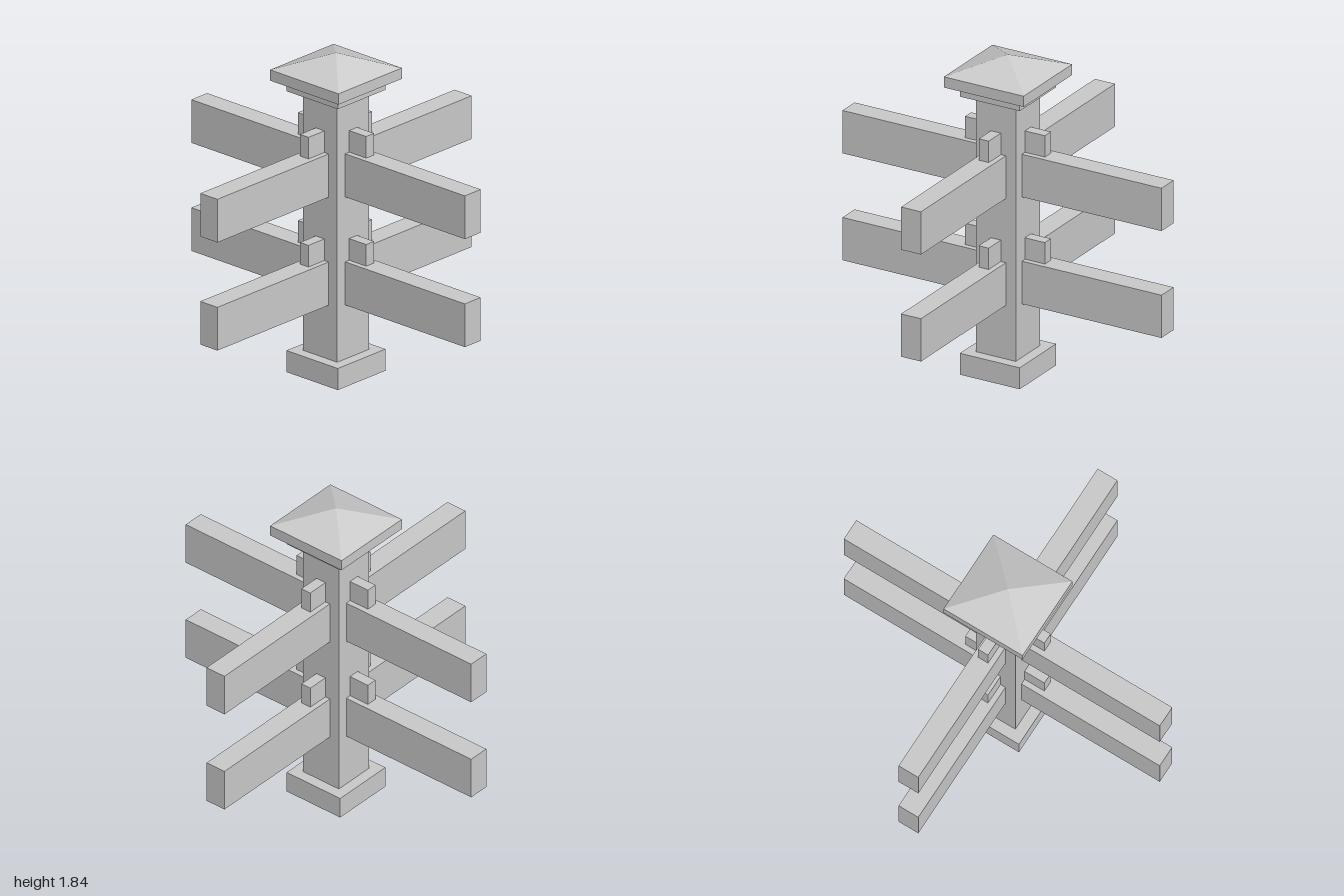
import * as THREE from 'three';

const material = new THREE.MeshStandardMaterial({ color: 0xcccccc, flatShading: true });

// Box resting on height y, with its centre at x, z = 0
function block(name, w, h, d, y, x = 0) {
  const mesh = new THREE.Mesh(new THREE.BoxGeometry(w, h, d), material);
  mesh.name = name;
  mesh.position.set(x, y + h / 2, 0);
  return mesh;
}

export function createModel() {
  const model = new THREE.Group();
  model.name = 'fencePost';

  // Post with its foot and stepped cap
  model.add(
    block('base', 0.375, 0.125, 0.375, 0),
    block('post', 0.25, 1.5, 0.25, 0.125),
    block('collar', 0.375, 0.0625, 0.375, 1.625),
    block('capSlab', 0.5, 0.0625, 0.5, 1.6875)
  );

  // Pyramid roof
  const roofHeight = 0.094;
  const roofGeometry = new THREE.ConeGeometry(0.25 * Math.SQRT2, roofHeight, 4, 1, true);
  roofGeometry.rotateY(Math.PI / 4);
  const roof = new THREE.Mesh(roofGeometry, material);
  roof.name = 'capRoof';
  roof.position.y = 1.75 + roofHeight / 2;
  model.add(roof);

  // Four arms, each with two rails and a small block above each rail
  for (let i = 0; i < 4; i++) {
    const arm = new THREE.Group();
    arm.name = 'arm';
    for (const y of [0.4375, 1.0625]) {
      arm.add(
        block('rail', 0.875, 0.25, 0.125, y, 0.5625),
        block('railBlock', 0.125, 0.125, 0.0625, y + 0.25, 0.1875)
      );
    }
    arm.rotation.y = i * Math.PI / 2;
    model.add(arm);
  }

  return model;
}
